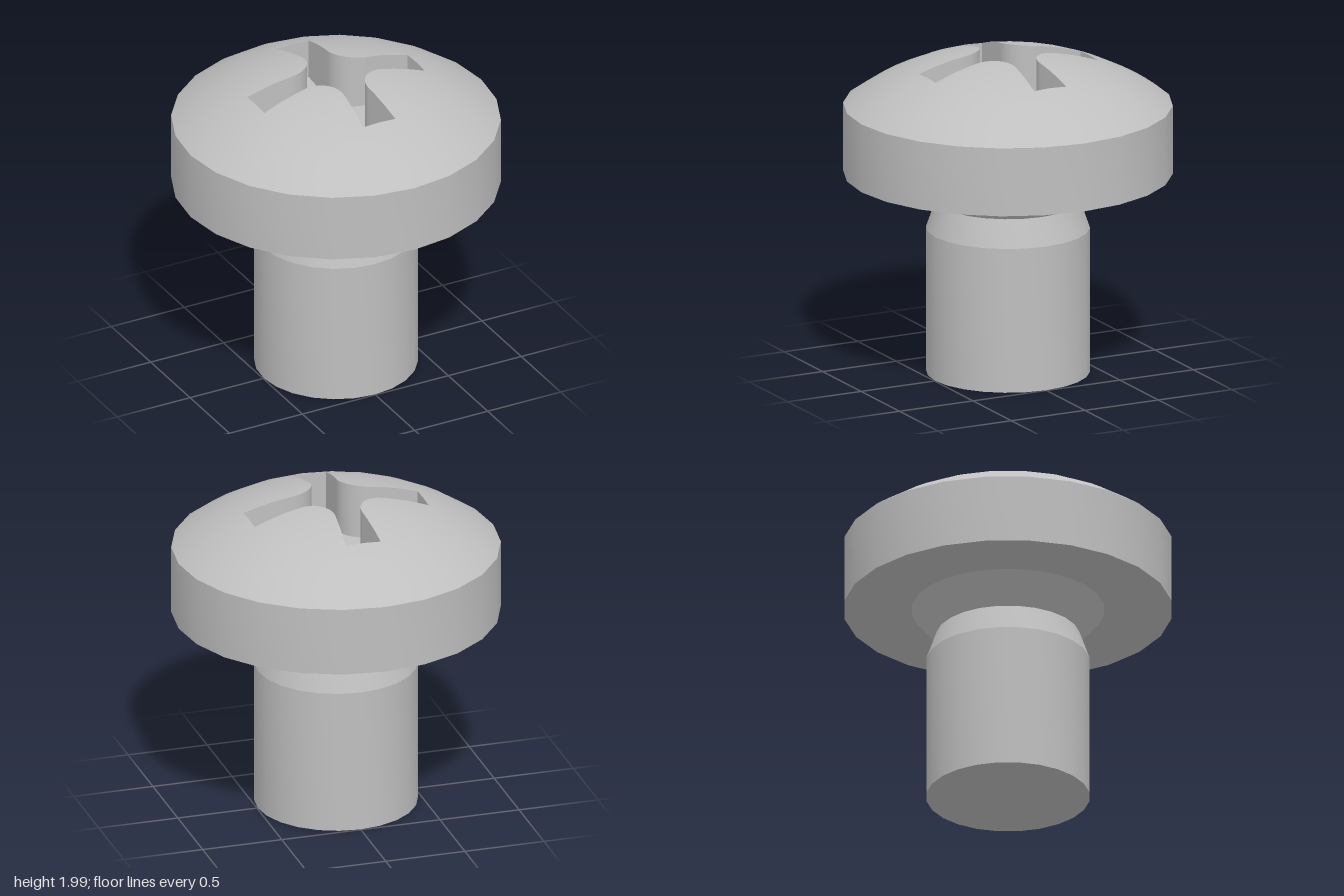
import * as THREE from 'three';
import { toCreasedNormals } from 'three/addons/utils/BufferGeometryUtils.js';

const SIDES = 24, RIM = 0.995, RIM_Y = 1.67, FLOOR_Y = 1.65;
const SAG = 2 - RIM_Y, BALL = (RIM * RIM + SAG * SAG) / (2 * SAG);
const rad = THREE.MathUtils.degToRad;

// Cross recess outline: flared arms joined by round inner corners
const END = 0.55, END_W = 0.11, NECK = 0.25, NECK_W = 0.085;
const FLARE = (END_W - NECK_W) / (END - NECK);

function recessRadius(deg) {
  const q = deg % 90, a = rad(Math.min(q, 90 - q)), t = Math.tan(a);
  if (t <= END_W / END + 1e-9) return END / Math.cos(a);
  if (t <= NECK_W / NECK + 1e-9) return (NECK_W - NECK * FLARE) / (t - FLARE) / Math.cos(a);
  const r = NECK - NECK_W, along = NECK * (Math.cos(a) + Math.sin(a));
  return along - Math.sqrt(Math.max(0, along * along - 2 * NECK * NECK + r * r));
}

// Radius of the many-sided rim at a given angle
function rimRadius(deg) {
  const half = 180 / SIDES;
  return RIM * Math.cos(rad(half)) / Math.cos(rad(deg % (2 * half) - half));
}

const domeY = (r, deg) => {
  const s = RIM * r / rimRadius(deg);
  return 2 - BALL + Math.sqrt(BALL * BALL - s * s);
};

// Angles shared by the recess and the dome, mirrored into all four quarters
function ringAngles() {
  const corner = Math.atan(END_W / END) * 180 / Math.PI;
  const neck = Math.atan(NECK_W / NECK) * 180 / Math.PI;
  const half = [0, 5.5, corner, 13, 15, 17, neck, 19.5, 21, 23, 26, 30, 35, 40, 45];
  const quarter = [...half, ...half.slice(1, -1).reverse().map(a => 90 - a)];
  return [0, 90, 180, 270].flatMap(q => quarter.map(a => a + q));
}

// Surface joining closed rings; each ring maps an angle to [radius, y]
function ringSurface(rings) {
  const angles = ringAngles(), n = angles.length, pos = [], index = [];
  for (const ring of rings) for (const deg of angles) {
    const [r, y] = ring(deg);
    pos.push(r * Math.cos(rad(deg)), y, r * Math.sin(rad(deg)));
  }
  for (let j = 0; j < rings.length - 1; j++) for (let i = 0; i < n; i++) {
    const k = (i + 1) % n, a = j * n + i, b = j * n + k;
    index.push(a, b, a + n, b, b + n, a + n);
  }
  const g = new THREE.BufferGeometry();
  g.setAttribute('position', new THREE.Float32BufferAttribute(pos, 3));
  g.setIndex(index);
  g.computeVertexNormals();
  return g;
}

export function createModel() {
  const group = new THREE.Group();
  const steel = new THREE.MeshStandardMaterial({ color: 0xbfbfbf });
  steel.name = 'steelGrey';
  const add = (name, geometry) => {
    const mesh = new THREE.Mesh(geometry, steel);
    mesh.name = name;
    group.add(mesh);
  };
  const lathe = pts => toCreasedNormals(
    new THREE.LatheGeometry(pts.map(p => new THREE.Vector2(...p)), SIDES), 0.3);

  // Shank with its tapered neck, and the flared collar under the head
  add('shank', lathe([[0, 0], [0.495, 0], [0.495, 0.9], [0.435, 1.07]]));
  add('collar', lathe([[0.435, 1.07], [0.585, 1.245]]));

  // Straight band and underside of the head
  add('headBand', lathe([[0.585, 1.245], [RIM, 1.245], [RIM, RIM_Y]]));

  // Domed top, running from the recess outline to the rim
  const steps = 8;
  const domeRings = Array.from({ length: steps + 1 }, (_, j) => deg => {
    const r = THREE.MathUtils.lerp(recessRadius(deg), rimRadius(deg), j / steps);
    return [r, domeY(r, deg)];
  });
  const dome = ringSurface(domeRings);
  const p = dome.attributes.position, v = new THREE.Vector3();
  for (let i = 0; i < p.count; i++) {
    v.fromBufferAttribute(p, i);
    v.y -= 2 - BALL;
    v.normalize();
    dome.attributes.normal.setXYZ(i, v.x, v.y, v.z);
  }
  add('headDome', dome);

  // Cross recess: flat floor and upright walls
  add('recessFloor', ringSurface([() => [0, FLOOR_Y], deg => [recessRadius(deg), FLOOR_Y]]));
  add('recessWalls', toCreasedNormals(ringSurface([
    deg => [recessRadius(deg), FLOOR_Y],
    deg => [recessRadius(deg), domeY(recessRadius(deg), deg)],
  ]), 0.7));

  return group;
}
